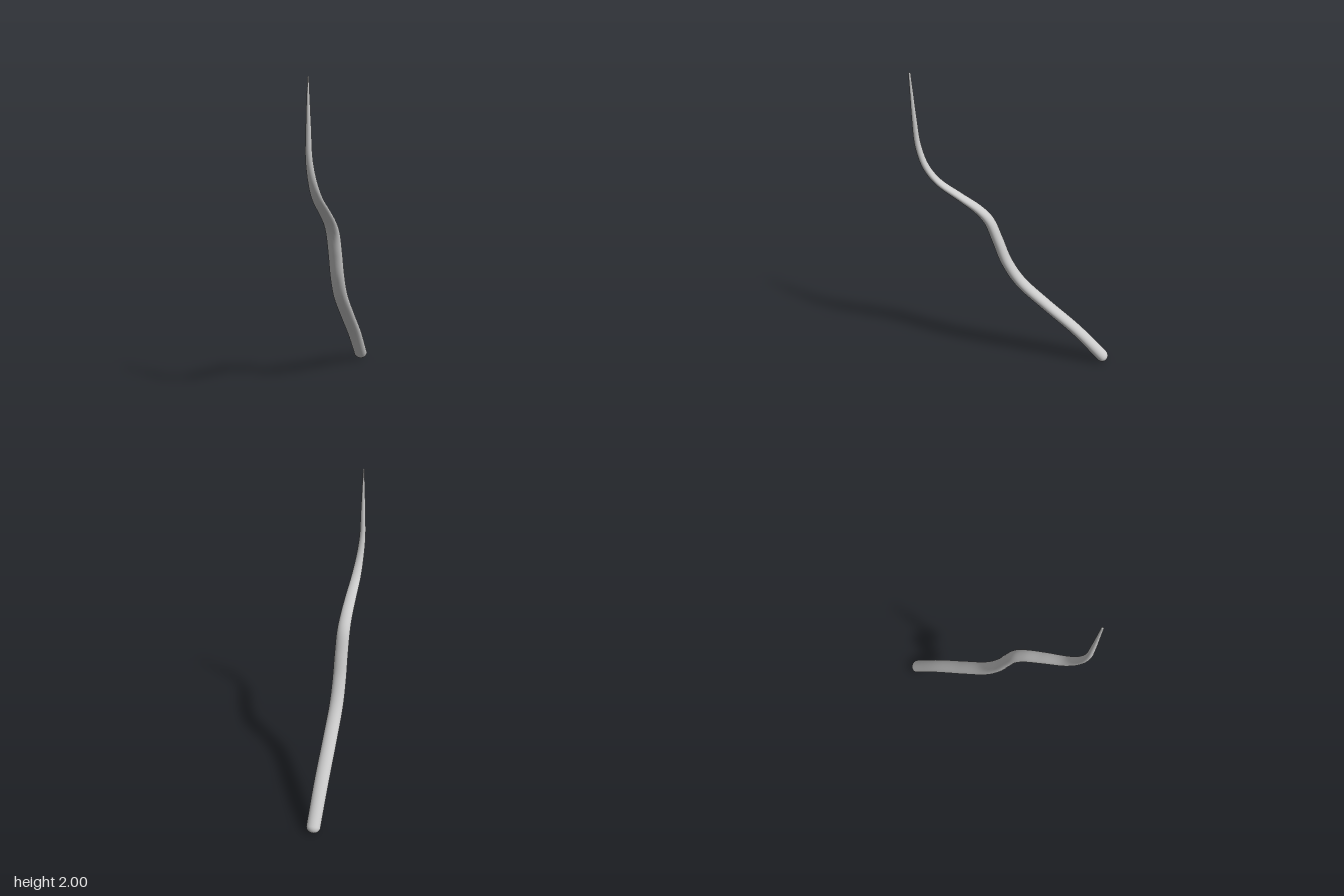
import * as THREE from 'three';

// Stations from thick end to tip: x, y, z of the centre, half width across x, half thickness
const STATIONS = [
  [-0.002, 0.044, -0.592, 0.046, 0.040],
  [-0.002, 0.245, -0.41, 0.048, 0.037],
  [-0.002, 0.44, -0.20, 0.048, 0.036],
  [-0.002, 0.61, -0.03, 0.047, 0.037],
  [0.001, 0.76, 0.06, 0.046, 0.037],
  [0.003, 0.915, 0.116, 0.045, 0.036],
  [0.003, 1.05, 0.17, 0.044, 0.034],
  [0.003, 1.125, 0.235, 0.041, 0.029],
  [0.002, 1.21, 0.35, 0.038, 0.024],
  [-0.002, 1.31, 0.487, 0.033, 0.022],
  [-0.007, 1.41, 0.56, 0.027, 0.022],
  [-0.014, 1.545, 0.602, 0.021, 0.020],
  [-0.0125, 1.71, 0.615, 0.016, 0.016],
  [-0.011, 1.87, 0.622, 0.010, 0.011],
  [-0.009, 1.992, 0.627, 0.005, 0.008],
];
const SIDES = 24, STEPS = 112, CAP = 8;

function sweepGeometry() {
  const path = new THREE.CatmullRomCurve3(STATIONS.map(([x, y, z]) => new THREE.Vector3(x, y, z)));
  const size = new THREE.SplineCurve(STATIONS.map((s) => new THREE.Vector2(s[3], s[4])));
  const xAxis = new THREE.Vector3(1, 0, 0);
  const positions = [], index = [];

  // One elliptical ring; push moves it along the path for the domed ends
  const addRing = (t, scale, push) => {
    const r = size.getPoint(t);
    const tangent = path.getTangent(t).setX(0).normalize();
    const normal = new THREE.Vector3().crossVectors(tangent, xAxis);
    const centre = path.getPoint(t).addScaledVector(tangent, push * r.y);
    for (let j = 0; j < SIDES; j++) {
      const a = (j / SIDES) * Math.PI * 2;
      const p = centre.clone()
        .addScaledVector(xAxis, Math.cos(a) * r.x * scale)
        .addScaledVector(normal, Math.sin(a) * r.y * scale);
      positions.push(p.x, p.y, p.z);
    }
  };

  // Rounded thick end, body, rounded tip
  const quarter = (i) => (i / CAP) * Math.PI / 2;
  for (let i = 0; i < CAP; i++) addRing(0, Math.max(Math.sin(quarter(i)), 0.01), -Math.cos(quarter(i)));
  for (let i = 0; i <= STEPS; i++) addRing(i / STEPS, 1, 0);
  for (let i = 1; i <= CAP; i++) addRing(1, Math.max(Math.cos(quarter(i)), 0.01), Math.sin(quarter(i)));

  const rings = positions.length / 3 / SIDES;
  for (let i = 0; i < rings - 1; i++) {
    for (let j = 0; j < SIDES; j++) {
      const k = (j + 1) % SIDES;
      const a = i * SIDES + j, b = i * SIDES + k, c = a + SIDES, d = b + SIDES;
      index.push(a, b, c, b, d, c);
    }
  }
  const geometry = new THREE.BufferGeometry();
  geometry.setAttribute('position', new THREE.Float32BufferAttribute(positions, 3));
  geometry.setIndex(index);
  geometry.computeVertexNormals();
  return geometry;
}

export function createModel() {
  const group = new THREE.Group();
  group.name = 'curvedStrand';
  // Tapering wavy stem
  const stem = new THREE.Mesh(sweepGeometry(), new THREE.MeshStandardMaterial({ color: 0xcccccc }));
  stem.name = 'stem';
  group.add(stem);
  return group;
}
